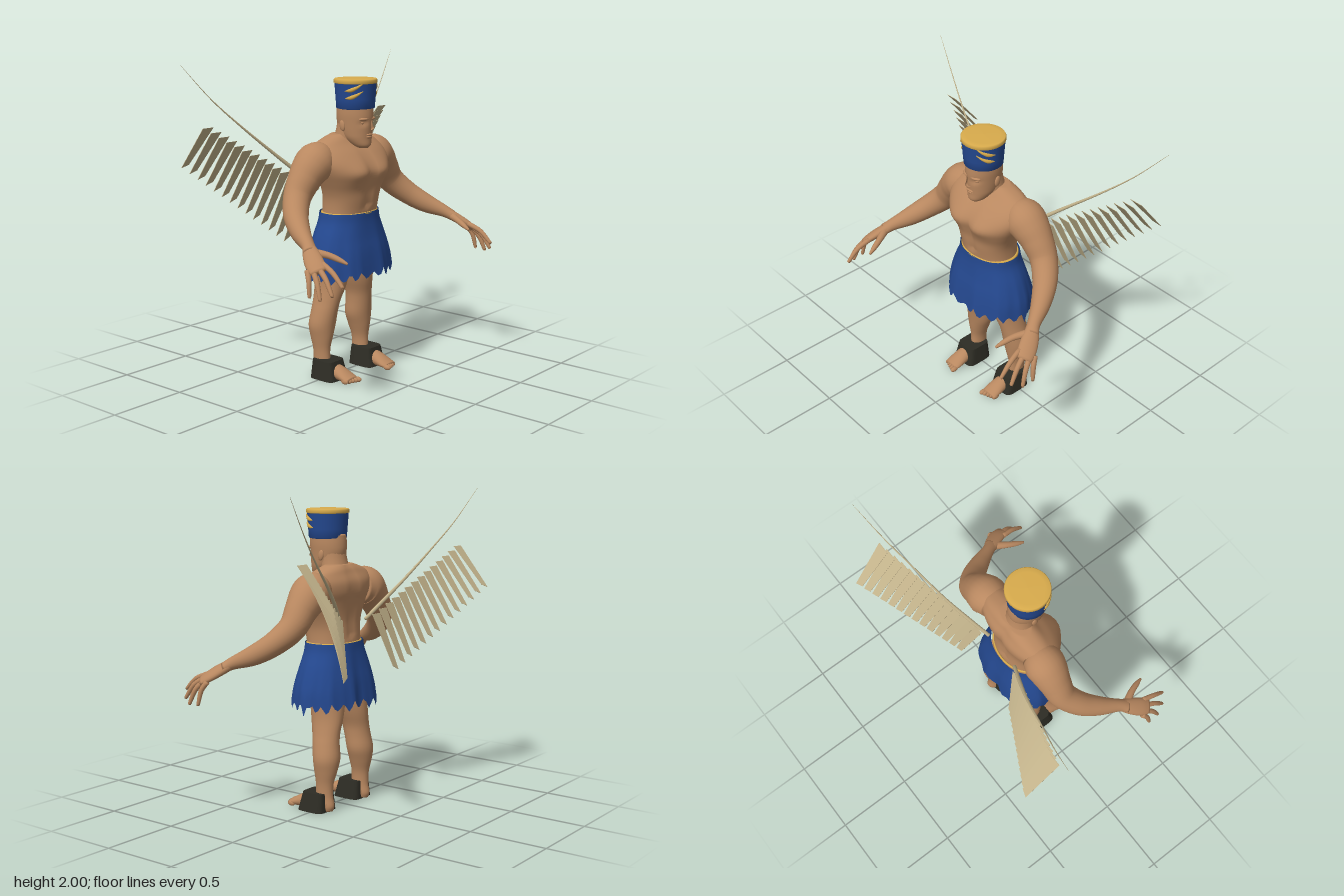
import * as THREE from 'three';

const mat = (name, color, side = THREE.FrontSide) => {
  const m = new THREE.MeshStandardMaterial({ color, side });
  m.name = name;
  return m;
};
const skin = mat('skin', 0xb98860);
const blue = mat('blueCloth', 0x24488f, THREE.DoubleSide);
const gold = mat('gold', 0xd8ab4c);
const dark = mat('sandalLeather', 0x2d2c24);
const tan = mat('feather', 0xc4b48c, THREE.DoubleSide);

const UP = new THREE.Vector3(0, 1, 0), FRONT = new THREE.Vector3(0, 0, 1);
const bump = (d, w) => Math.exp(-(d * d) / (w * w));

// Smooth skin over elliptical sections [x, y, z, radiusA, radiusB].
// dir fixes the section normal, ref is the direction of radiusB.
function loft(rows, { steps = 24, seg = 20, ref = UP, dir = null, n = 2, caps = true, warp = null } = {}) {
  const path = new THREE.CatmullRomCurve3(rows.map(r => new THREE.Vector3(r[0], r[1], r[2])), false, 'catmullrom', 0.5);
  const size = new THREE.CatmullRomCurve3(rows.map(r => new THREE.Vector3(r[3], r[4], 0)), false, 'catmullrom', 0.5);
  const pos = [], idx = [];
  const sup = c => Math.sign(c) * Math.pow(Math.abs(c), 2 / n);
  for (let i = 0; i <= steps; i++) {
    const t = i / steps, c = path.getPoint(t), r = size.getPoint(t);
    const T = dir || path.getTangent(t);
    const u = new THREE.Vector3().crossVectors(T, ref).normalize();
    const v = new THREE.Vector3().crossVectors(u, T).normalize();
    for (let j = 0; j < seg; j++) {
      const a = (j / seg) * Math.PI * 2;
      const p = c.clone().addScaledVector(u, r.x * sup(Math.cos(a))).addScaledVector(v, r.y * sup(Math.sin(a)));
      if (warp) warp(p, t, j, a);
      pos.push(p.x, p.y, p.z);
      if (i < steps) {
        const k = i * seg + j, b = i * seg + (j + 1) % seg;
        idx.push(k, k + seg, b, b, k + seg, b + seg);
      }
    }
  }
  if (caps) {
    const s = pos.length / 3, last = steps * seg;
    pos.push(...path.getPoint(0).toArray(), ...path.getPoint(1).toArray());
    for (let j = 0; j < seg; j++) {
      const k = (j + 1) % seg;
      idx.push(s, j, k, s + 1, last + k, last + j);
    }
  }
  const g = new THREE.BufferGeometry();
  g.setAttribute('position', new THREE.Float32BufferAttribute(pos, 3));
  g.setIndex(idx);
  g.computeVertexNormals();
  return g;
}

function add(parent, name, geo, material) {
  const m = new THREE.Mesh(geo, material);
  m.name = name;
  parent.add(m);
  return m;
}
function blob(parent, name, p, r, material = skin) {
  const m = add(parent, name, new THREE.SphereGeometry(1, 16, 12), material);
  m.position.set(...p);
  m.scale.set(...r);
  return m;
}
const side = (s, rows) => rows.map(([x, ...rest]) => [x * s, ...rest]);
const upright = { dir: UP, ref: FRONT };

function buildBody(g) {
  // torso with chest muscles and a groove down chest and spine
  add(g, 'torso', loft([
    [0, 0.86, 0.0, 0.17, 0.13], [0, 0.96, 0.01, 0.195, 0.14], [0, 1.06, 0.02, 0.19, 0.143],
    [0, 1.14, 0.03, 0.195, 0.147], [0, 1.2, 0.035, 0.212, 0.15], [0, 1.26, 0.04, 0.24, 0.16],
    [0, 1.32, 0.04, 0.27, 0.17], [0, 1.38, 0.022, 0.295, 0.165], [0, 1.44, 0, 0.295, 0.14],
    [0, 1.49, -0.015, 0.26, 0.1], [0, 1.52, -0.02, 0.19, 0.08], [0, 1.545, -0.02, 0.11, 0.06],
  ], { ...upright, steps: 44, seg: 48, n: 2.3, warp: p => {
    if (p.y < 1.1) return;
    if (p.z > 0.05) p.z += 0.022 * bump(Math.abs(p.x) - 0.11, 0.08) * bump(p.y - 1.315, 0.06);
    p.z *= 1 - 0.09 * bump(p.x, 0.03);
  } }), skin);
  add(g, 'neck', loft([[0, 1.45, -0.01, 0.11, 0.09], [0, 1.56, 0.02, 0.09, 0.085], [0, 1.67, 0.04, 0.085, 0.085]], upright), skin);

  // head and face
  add(g, 'head', loft([
    [0, 1.462, 0.13, 0.03, 0.03], [0, 1.48, 0.112, 0.055, 0.064], [0, 1.52, 0.085, 0.08, 0.092],
    [0, 1.56, 0.07, 0.09, 0.11], [0, 1.62, 0.063, 0.097, 0.122], [0, 1.67, 0.063, 0.101, 0.124],
    [0, 1.73, 0.065, 0.1, 0.12],
  ], { ...upright, steps: 30, seg: 32, warp: p => {
    if (p.z > 0.1) p.z -= 0.012 * bump(Math.abs(p.x) - 0.04, 0.02) * bump(p.y - 1.62, 0.016);
  } }), skin);
  add(g, 'nose', loft([[0, 1.645, 0.175, 0.01, 0.012], [0, 1.61, 0.188, 0.013, 0.014], [0, 1.587, 0.192, 0.02, 0.016], [0, 1.575, 0.182, 0.012, 0.01]], { ...upright, steps: 10, seg: 14 }), skin);
  blob(g, 'upperLip', [0, 1.545, 0.178], [0.03, 0.007, 0.009]);
  blob(g, 'lowerLip', [0, 1.531, 0.174], [0.026, 0.008, 0.01]);
  blob(g, 'chin', [0, 1.487, 0.155], [0.034, 0.022, 0.022]);
  for (const s of [-1, 1]) {
    blob(g, 'brow', [s * 0.04, 1.643, 0.167], [0.036, 0.01, 0.016]).rotation.y = s * 0.3;
    blob(g, 'eyeball', [s * 0.04, 1.62, 0.156], [0.017, 0.01, 0.01]);
    blob(g, 'ear', [s * 0.1, 1.6, 0.045], [0.01, 0.034, 0.02]).rotation.x = -0.2;
  }
}

function buildArm(g, s) {
  add(g, 'arm', loft(side(s, [
    [0.2, 1.39, -0.02, 0.1, 0.11], [0.27, 1.385, -0.02, 0.125, 0.125], [0.325, 1.35, -0.02, 0.118, 0.115],
    [0.385, 1.285, -0.02, 0.1, 0.1], [0.455, 1.19, -0.01, 0.085, 0.086], [0.54, 1.1, 0.06, 0.075, 0.074],
    [0.61, 1.03, 0.16, 0.06, 0.062], [0.67, 0.98, 0.27, 0.04, 0.04], [0.7, 0.95, 0.32, 0.045, 0.032],
  ]), { steps: 40, seg: 24 }), skin);
  add(g, 'palm', loft(side(s, [
    [0.675, 0.975, 0.28, 0.036, 0.032], [0.715, 0.935, 0.34, 0.052, 0.03],
    [0.75, 0.895, 0.4, 0.056, 0.026], [0.772, 0.868, 0.445, 0.046, 0.016],
  ]), { steps: 12, ref: new THREE.Vector3(s * 0.45, 1, 0) }), skin);
  // fingers: knuckle to tip
  [[0.722, 0.905, 0.43, 0.74, 0.8, 0.59], [0.755, 0.885, 0.43, 0.788, 0.755, 0.555],
    [0.782, 0.87, 0.41, 0.82, 0.73, 0.495], [0.792, 0.87, 0.375, 0.825, 0.735, 0.42]].forEach(([a, b, c, d, e, f]) => {
    add(g, 'finger', loft(side(s, [
      [a, b, c, 0.017, 0.017], [(a + d) / 2 + 0.004, (b + e) / 2 + 0.014, (c + f) / 2 + 0.008, 0.0155, 0.0155],
      [d, e, f, 0.011, 0.011], [d, e - 0.006, f + 0.004, 0.004, 0.004],
    ]), { steps: 12, seg: 10 }), skin);
  });
  add(g, 'thumb', loft(side(s, [
    [0.69, 0.95, 0.32, 0.028, 0.026], [0.645, 0.937, 0.4, 0.021, 0.02],
    [0.62, 0.915, 0.465, 0.017, 0.016], [0.605, 0.895, 0.515, 0.007, 0.007],
  ]), { steps: 12, seg: 12 }), skin);
}

function buildLeg(g, s) {
  add(g, 'leg', loft(side(s, [
    [0.19, 0.005, -0.06, 0.036, 0.05], [0.19, 0.04, -0.058, 0.044, 0.063], [0.19, 0.1, -0.05, 0.043, 0.06],
    [0.19, 0.18, -0.052, 0.047, 0.061], [0.185, 0.26, -0.056, 0.066, 0.077], [0.178, 0.34, -0.057, 0.085, 0.088],
    [0.168, 0.43, -0.045, 0.078, 0.09], [0.155, 0.5, -0.037, 0.073, 0.096], [0.13, 0.6, -0.027, 0.082, 0.112],
    [0.112, 0.75, -0.015, 0.1, 0.122], [0.1, 0.92, 0, 0.1, 0.12],
  ]), { ...upright, steps: 40, seg: 24 }), skin);
  add(g, 'foot', loft(side(s, [
    [0.19, 0.042, -0.09, 0.04, 0.04], [0.19, 0.056, 0, 0.045, 0.056], [0.19, 0.048, 0.09, 0.052, 0.047],
    [0.19, 0.028, 0.17, 0.058, 0.027], [0.19, 0.02, 0.205, 0.052, 0.018],
  ]), { steps: 18 }), skin);
  for (let i = 0; i < 5; i++) {
    blob(g, 'toe', [s * (0.148 + i * 0.0225), 0.018, 0.212 - i * 0.008], [i ? 0.012 : 0.017, 0.017, 0.028]);
  }
  add(g, 'sandal', loft(side(s, [[0.19, 0, 0.012, 0.093, 0.098], [0.19, 0.12, 0, 0.074, 0.08]]),
    { ...upright, steps: 2, seg: 40, n: 5 }).toNonIndexed(), dark).geometry.computeVertexNormals();
}

function buildSkirt(g) {
  // flared cloth with soft folds and a torn hem
  const seg = 84;
  let seed = 7;
  const rand = () => (seed = (seed * 16807) % 2147483647) / 2147483647;
  const hem = Array.from({ length: seg }, (_, j) => [0, 0.035, 0.055, 0.025][j % 4] + 0.04 * rand());
  add(g, 'skirt', loft([
    [0, 0.62, 0.012, 0.315, 0.222], [0, 0.73, 0.012, 0.308, 0.21], [0, 0.82, 0.012, 0.29, 0.197],
    [0, 0.91, 0.012, 0.262, 0.178], [0, 1.0, 0.014, 0.222, 0.162], [0, 1.06, 0.016, 0.21, 0.156],
  ], { ...upright, steps: 20, seg, n: 2.2, caps: false, warp: (p, t, j, a) => {
    const low = 1 - t, k = 1 + 0.02 * low * Math.cos(9 * a);
    p.x *= k;
    p.z *= k * (1 - (p.z < 0 ? 0.12 : 0.05) * low * bump(p.x, 0.05));
    p.y += hem[j] * Math.pow(low, 3);
  } }), blue);
  const band = add(g, 'waistband', new THREE.TorusGeometry(0.198, 0.009, 8, 48), gold);
  band.rotation.x = Math.PI / 2;
  band.scale.y = 0.75;
  band.position.set(0, 1.054, 0.018);
}

function buildHat(g) {
  const hat = new THREE.Group();
  hat.name = 'hat';
  hat.position.z = 0.067;
  g.add(hat);
  const lathe = pts => new THREE.LatheGeometry(pts.map(p => new THREE.Vector2(...p)), 48);
  add(hat, 'hatSide', lathe([[0.1, 1.7], [0.119, 1.705], [0.123, 1.76], [0.131, 1.865]]), blue);
  add(hat, 'hatTop', lathe([[0.13, 1.857], [0.135, 1.861], [0.135, 1.878], [0.13, 1.885], [0.1, 1.887], [0, 1.889]]), gold);
  // curled leaves on each side
  for (const s of [-1, 1]) {
    for (const [y0, y1] of [[1.862, 1.815], [1.815, 1.77]]) {
      const rows = [0, 1, 2, 3].map(i => {
        const a = s * (0.5 + i * 0.3), r = 0.13 - 0.004 * (y0 < 1.85);
        return [r * Math.sin(a), y0 + (y1 - y0) * Math.sin(i * 0.52), r * Math.cos(a), [0.002, 0.007, 0.008, 0.002][i], [0.003, 0.009, 0.012, 0.002][i]];
      });
      add(hat, 'hatLeaf', loft(rows, { steps: 12, seg: 8 }), gold);
    }
  }
}

function buildWing(g, s) {
  const wing = new THREE.Group();
  wing.name = s > 0 ? 'leftWing' : 'rightWing';
  g.add(wing);
  add(wing, 'wingShaft', loft(side(s, [
    [0.13, 1.19, -0.13, 0.012, 0.012], [0.26, 1.31, -0.19, 0.012, 0.013], [0.41, 1.44, -0.25, 0.009, 0.01],
    [0.62, 1.62, -0.315, 0.005, 0.006], [0.8, 1.79, -0.375, 0.003, 0.003], [0.98, 1.995, -0.43, 0.0008, 0.0008],
  ]), { seg: 8 }), tan);
  // overlapping blade feathers hanging from the shaft
  for (let i = 0; i < 14; i++) {
    const t = i / 13, len = 0.36 - 0.1 * t, back = 0.11 + 0.11 * t;
    const f = new THREE.BoxGeometry(1, 1, 0.004), p = f.attributes.position;
    for (let k = 0; k < p.count; k++) {
      const e = p.getX(k), d = 0.5 - p.getY(k), z = p.getZ(k);
      const drop = d * (e > 0 ? 1 : 0.93);
      p.setXYZ(k, 0.2 + 0.62 * t + 0.07 * (1 - t) * d + e * (0.084 - 0.036 * d),
        1.22 + 0.4 * t - len * drop, -0.165 - 0.215 * t - back * drop + z);
    }
    const blade = f.toNonIndexed();
    if (s < 0) {
      // mirror the plate and restore its corner order
      const q = blade.attributes.position;
      for (let k = 0; k < q.count; k++) q.setX(k, -q.getX(k));
      blade.setIndex(Array.from({ length: q.count }, (_, k) => k - (k % 3) + (2 - (k % 3))));
    }
    blade.computeVertexNormals();
    add(wing, 'feather', blade, tan);
  }
}

export function createModel() {
  const g = new THREE.Group();
  g.name = 'wingedFigure';
  buildBody(g);
  buildSkirt(g);
  buildHat(g);
  for (const s of [-1, 1]) {
    buildArm(g, s);
    buildLeg(g, s);
    buildWing(g, s);
  }
  return g;
}
